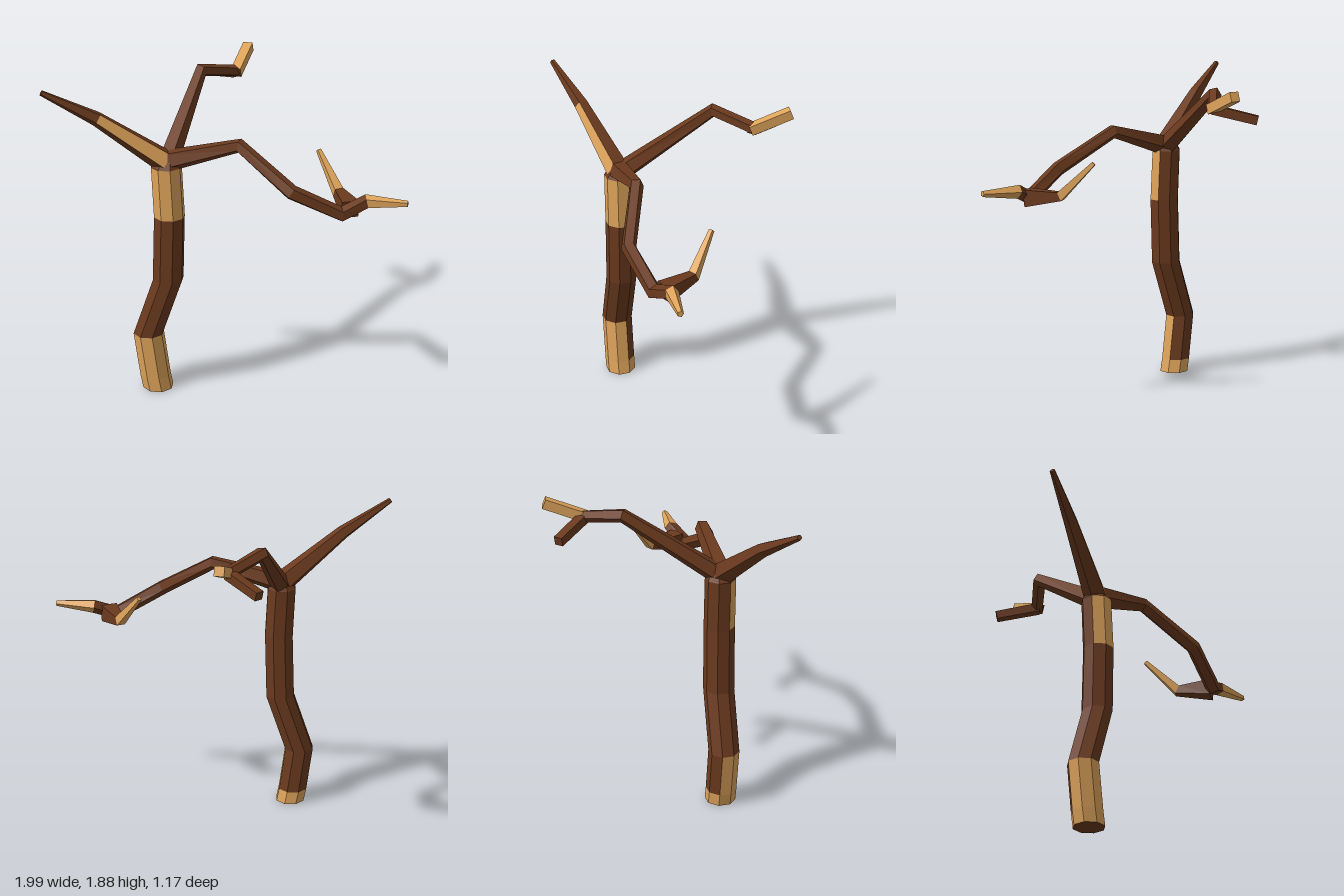
import * as THREE from 'three';

const dark = new THREE.MeshStandardMaterial({ color: 0x6b3a1e, flatShading: true });
const light = new THREE.MeshStandardMaterial({ color: 0xdfa45b, flatShading: true });

// Faceted limb swept through rings [x, y, z, radius].
// isLight(segment, outward) picks the faces of bare wood; level keeps the rings horizontal.
function limb(name, rings, sides, isLight = () => false, level = false) {
  const centres = rings.map(([x, y, z]) => new THREE.Vector3(x, y, z));
  const last = rings.length - 1;
  const up = new THREE.Vector3(0, 1, 0);
  let u = level ? new THREE.Vector3(1, 0, 0) : up.clone();

  const frames = centres.map((c, i) => {
    const t = new THREE.Vector3();
    if (i > 0) t.add(c.clone().sub(centres[i - 1]).normalize());
    if (i < last) t.add(centres[i + 1].clone().sub(c).normalize());
    if (level) t.copy(up);
    t.normalize();
    u = u.clone().addScaledVector(t, -u.dot(t)).normalize();
    return { u, v: t.clone().cross(u) };
  });
  const direction = (i, j) => {
    const a = ((j + 0.5) / sides) * Math.PI * 2;
    return frames[i].u.clone().multiplyScalar(Math.cos(a)).addScaledVector(frames[i].v, Math.sin(a));
  };
  const corner = (i, j) => centres[i].clone().addScaledVector(direction(i, j), rings[i][3]);

  const faces = { bark: [], bareWood: [] };
  const add = (list, ...points) => points.forEach((p) => list.push(p.x, p.y, p.z));
  for (let j = 0; j < sides; j++) {
    for (let i = 0; i < last; i++) {
      const out = direction(i, j).add(direction(i, j + 1)).normalize();
      const list = isLight(i, out) ? faces.bareWood : faces.bark;
      const [a, b, c, d] = [corner(i, j), corner(i, j + 1), corner(i + 1, j + 1), corner(i + 1, j)];
      add(list, a, b, c, a, c, d);
    }
    // end caps
    add(faces.bark, centres[0], corner(0, j + 1), corner(0, j));
    const tip = isLight(last - 1, up) ? faces.bareWood : faces.bark;
    add(tip, centres[last], corner(last, j), corner(last, j + 1));
  }

  const group = new THREE.Group();
  group.name = name;
  for (const [part, list] of Object.entries(faces)) {
    if (!list.length) continue;
    const geometry = new THREE.BufferGeometry();
    geometry.setAttribute('position', new THREE.Float32BufferAttribute(list, 3));
    geometry.computeVertexNormals();
    const mesh = new THREE.Mesh(geometry, part === 'bark' ? dark : light);
    mesh.name = part;
    group.add(mesh);
  }
  return group;
}

export function createModel() {
  const tree = new THREE.Group();
  tree.name = 'bareTree';

  // Bent trunk: bare wood at the foot and on the front below the crown
  tree.add(limb('trunk', [
    [-0.42, 0, 0.355, 0.09], [-0.435, 0.08, 0.355, 0.09], [-0.47, 0.35, 0.355, 0.09],
    [-0.35, 0.7, 0.355, 0.09], [-0.337, 1.09, 0.355, 0.089], [-0.35, 1.39, 0.352, 0.088],
    [-0.34, 1.475, 0.345, 0.04],
  ], 8, (i, out) => i === 0 || (i === 1 && out.z > -0.5) || (i === 4 && out.z > -0.1 && out.x > -0.8), true));

  // Straight tapering branch on the right
  tree.add(limb('rightBranch', [
    [-0.35, 1.415, 0.355, 0.07], [-0.71, 1.695, 0.47, 0.042], [-0.99, 1.865, 0.565, 0.016],
  ], 5, (i, out) => i === 0 && out.z > 0.1 && out.y > -0.3));

  // Rear branch and its two twigs
  tree.add(limb('rearBranch', [
    [-0.34, 1.42, 0.33, 0.06], [-0.23, 1.775, -0.18, 0.041], [-0.045, 1.72, -0.36, 0.036],
  ], 5));
  tree.add(limb('rearUpperTwig', [
    [-0.045, 1.715, -0.34, 0.04], [0.0, 1.805, -0.57, 0.04],
  ], 4, () => true));
  tree.add(limb('rearLowerTwig', [
    [-0.045, 1.715, -0.35, 0.038], [-0.215, 1.655, -0.54, 0.036],
  ], 4));

  // Long drooping branch on the left, ending in a fork
  tree.add(limb('leftBranch', [
    [-0.35, 1.42, 0.355, 0.065], [0.06, 1.535, 0.37, 0.042], [0.365, 1.33, 0.51, 0.044],
    [0.635, 1.19, 0.45, 0.045], [0.77, 1.25, 0.395, 0.042], [0.995, 1.258, 0.42, 0.018],
  ], 5, (i) => i === 4));
  tree.add(limb('leftTwig', [
    [0.68, 1.205, 0.41, 0.07], [0.6, 1.225, 0.215, 0.037], [0.475, 1.415, 0.07, 0.016],
  ], 4, (i) => i === 1));

  return tree;
}
